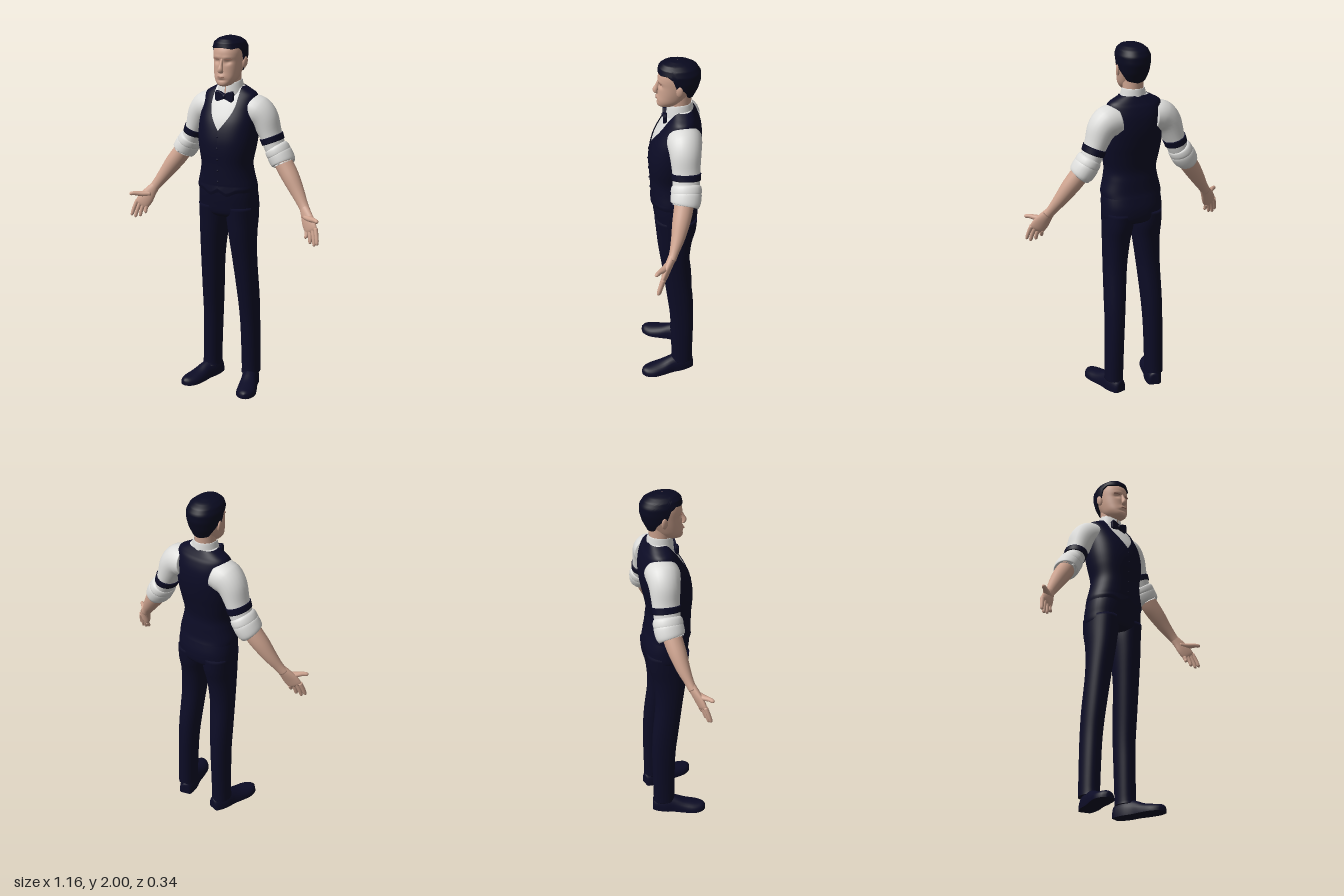
import * as THREE from 'three';

const mat = (name, color, side = THREE.FrontSide) => {
  const m = new THREE.MeshStandardMaterial({ color, side });
  m.name = name;
  return m;
};

// Smooth interpolation through rows of numbers
function sample(K, t) {
  const n = K.length - 1, f = Math.min(Math.max(t, 0) * n, n - 1e-9), i = Math.floor(f), u = f - i;
  const p = k => K[Math.max(0, Math.min(n, k))];
  return p(i).map((b, c) => {
    const a = p(i - 1)[c], d = p(i + 1)[c], e = p(i + 2)[c];
    return b + 0.5 * u * (d - a + u * (2 * a - 5 * b + 4 * d - e + u * (3 * (b - d) + e - a)));
  });
}

// Skin a stack of rings; points run counterclockwise about the direction of travel
function loft(rings, { open = false, caps = true } = {}) {
  const m = rings[0].length, pos = rings.flat().flatMap(p => [p.x, p.y, p.z]), idx = [];
  for (let i = 0; i < rings.length - 1; i++)
    for (let j = 0; j < (open ? m - 1 : m); j++) {
      const a = i * m + j, b = i * m + (j + 1) % m;
      idx.push(a, b, b + m, a, b + m, a + m);
    }
  if (caps && !open) [0, rings.length - 1].forEach((r, end) => {
    const c = rings[r].reduce((s, p) => s.add(p), new THREE.Vector3()).divideScalar(m);
    const k = pos.length / 3;
    pos.push(c.x, c.y, c.z);
    for (let j = 0; j < m; j++) {
      const a = r * m + j, b = r * m + (j + 1) % m;
      idx.push(k, end ? a : b, end ? b : a);
    }
  });
  const g = new THREE.BufferGeometry();
  g.setAttribute('position', new THREE.Float32BufferAttribute(pos, 3));
  g.setIndex(idx);
  g.computeVertexNormals();
  return g;
}

// Point on a rounded horizontal section: row is [y, centreX, halfWidth, zBack, zFront]
function sectionPoint([y, cx, rx, zb, zf], th, e = 2) {
  const s = Math.sin(th), c = Math.cos(th), q = 2 / e;
  return new THREE.Vector3(cx + rx * Math.sign(s) * Math.abs(s) ** q, y,
    (zb + zf) / 2 + (zf - zb) / 2 * Math.sign(c) * Math.abs(c) ** q);
}

// Upright body; start(y, halfWidth) gives the angle of a front opening
function body(K, { rows = 30, m = 40, e = 2, start, caps = true } = {}) {
  const rings = [];
  for (let i = 0; i <= rows; i++) {
    const r = sample(K, i / rows), a = start ? start(r[0], r[2]) : 0, ring = [];
    for (let j = 0; j < (start ? m + 1 : m); j++)
      ring.push(sectionPoint(r, a + (2 * Math.PI - 2 * a) * j / m, e));
    rings.push(ring);
  }
  return loft(rings, { open: !!start, caps });
}

// Limb along a path: row is [x, y, z, radius along ref, radius across]
function limb(K, { t0 = 0, t1 = 1, n = 24, m = 24, grow = 0, ref = [0, 0, 1] } = {}) {
  const rings = [];
  for (let i = 0; i <= n; i++) {
    const t = t0 + (t1 - t0) * i / n, [x, y, z, ru, rv] = sample(K, t);
    const P = k => new THREE.Vector3(...sample(K, Math.min(1, Math.max(0, k))).slice(0, 3));
    const D = P(t + 0.01).sub(P(t - 0.01)).normalize();
    const u = new THREE.Vector3(...ref);
    u.addScaledVector(D, -u.dot(D)).normalize();
    const v = D.clone().cross(u);
    rings.push(Array.from({ length: m }, (_, j) => {
      const a = 2 * Math.PI * j / m;
      return new THREE.Vector3(x, y, z).addScaledVector(u, (ru + grow) * Math.cos(a)).addScaledVector(v, (rv + grow) * Math.sin(a));
    }));
  }
  return loft(rings);
}

function mirrored(geo) {
  const g = geo.clone().scale(-1, 1, 1), ix = g.index.array;
  for (let i = 0; i < ix.length; i += 3) [ix[i], ix[i + 1]] = [ix[i + 1], ix[i]];
  g.computeVertexNormals();
  return g;
}

export function createModel() {
  const model = new THREE.Group();
  const skin = mat('skin', 0xcda38f), shade = mat('skin shade', 0x94695b);
  const shirt = mat('shirt white', 0xdcdcda, THREE.DoubleSide);
  const navy = mat('navy cloth', 0x0c0c26, THREE.DoubleSide), hairMat = mat('dark hair', 0x090a20, THREE.DoubleSide);
  const add = (name, g, m) => {
    const mesh = new THREE.Mesh(g, m);
    mesh.name = name;
    model.add(mesh);
    return mesh;
  };
  const pair = (name, g, m) => { add('left' + name, g, m); add('right' + name, mirrored(g), m); };

  // Waistcoat with a deep V neck
  const torso = [[1.17, 0, .166, -.142, .1], [1.2, 0, .166, -.135, .107], [1.26, 0, .151, -.13, .11], [1.32, 0, .143, -.126, .113],
    [1.4, 0, .157, -.14, .118], [1.47, 0, .165, -.155, .114], [1.55, 0, .165, -.165, .095], [1.62, 0, .158, -.162, .06],
    [1.67, 0, .152, -.148, .028], [1.695, 0, .142, -.135, .008], [1.715, 0, .11, -.125, -.004], [1.732, 0, .077, -.117, -.01]];
  const E = 2.3;
  const neckline = (y, rx) => {
    const t = Math.min(1, Math.max(0, (y - 1.51) / 0.15));
    return Math.asin(Math.min(.97, .073 * Math.sin(t * Math.PI / 2) / rx) ** (E / 2));
  };
  const vest = body(torso, { rows: 66, m: 56, e: E, start: neckline });
  const vp = vest.attributes.position;
  for (let i = 0; i < vp.count; i++) // pointed front hem
    if (vp.getY(i) < 1.2 && vp.getZ(i) > 0) {
      const x = Math.abs(vp.getX(i));
      vp.setY(i, vp.getY(i) - .025 * Math.max(0, 1 - Math.abs(x - .05) / .05));
      vp.setZ(i, vp.getZ(i) + .004);
    }
  vest.computeVertexNormals();
  add('waistcoat', vest, navy);
  add('shirtBody', body(torso.slice(4).map(([y, c, r, b, f]) => [y, c, r - .007, b + .007, f - .006]), { e: E }), shirt);

  // Buttons
  for (let i = 0; i < 7; i++) {
    const y = 1.23 + i * .062, onShirt = i > 4;
    const b = add(onShirt ? 'shirtButton' : 'waistcoatButton', new THREE.SphereGeometry(.006, 10, 8), onShirt ? shirt : navy);
    b.position.set(0, y, onShirt ? [.1, .068][i - 5] - .014 : [.109, .113, .116, .119, .115][i]);
    b.scale.z = .6;
  }

  // Trousers
  add('trouserSeat', body([[1.015, 0, .12, -.11, .05], [1.04, 0, .163, -.143, .082], [1.1, 0, .168, -.15, .094], [1.16, 0, .164, -.14, .1], [1.22, 0, .15, -.125, .1]], { e: 2.4 }), navy);
  pair('TrouserLeg', body([[.065, .125, .052, -.127, .002], [.1, .125, .051, -.126, -.004], [.3, .12, .052, -.13, 0], [.42, .116, .054, -.13, .006], [.55, .111, .058, -.124, .022],
    [.75, .1, .065, -.104, .048], [.9, .09, .073, -.114, .07], [1, .084, .081, -.138, .08], [1.08, .084, .081, -.145, .088]], { e: 2.2 }), navy);

  // Shoes, turned outwards
  const shoeRows = [[-.07, .012, .045], [-.062, .036, .075], [0, .05, .095], [.06, .048, .084], [.12, .054, .06], [.18, .055, .047], [.222, .037, .04], [.24, .01, .026]];
  const shoeRings = Array.from({ length: 25 }, (_, i) => {
    const [z, w, h] = sample(shoeRows, i / 24);
    return Array.from({ length: 28 }, (_, j) => {
      const a = 2 * Math.PI * j / 28, s = Math.max(0, Math.sin(a));
      return new THREE.Vector3(w * Math.cos(a), h * s ** .75, z);
    });
  });
  pair('Shoe', loft(shoeRings).rotateY(.29).translate(.125, 0, -.06), navy);

  // Sleeves, arm bands and rolled cuffs
  const sleeve = [[.1, 1.605, -.07, .09, .078], [.148, 1.597, -.07, .09, .088], [.19, 1.562, -.073, .082, .077],
    [.224, 1.485, -.076, .073, .06], [.25, 1.42, -.076, .07, .055], [.278, 1.365, -.074, .068, .054]];
  pair('Sleeve', limb(sleeve), shirt);
  pair('ArmBand', limb(sleeve, { t0: .64, t1: .74, n: 6, grow: .005 }), navy);
  pair('UpperCuff', limb([[.256, 1.418, -.076, .066, .052], [.262, 1.408, -.076, .077, .063], [.275, 1.383, -.076, .08, .066], [.283, 1.367, -.076, .07, .057]]), shirt);
  pair('LowerCuff', limb([[.272, 1.39, -.076, .068, .055], [.28, 1.376, -.076, .079, .067], [.303, 1.34, -.072, .078, .066], [.31, 1.328, -.07, .07, .058], [.305, 1.337, -.071, .05, .045]]), shirt);

  // Forearms and hands, palms forward
  pair('Forearm', limb([[.285, 1.37, -.07, .05, .047], [.325, 1.31, -.06, .05, .05], [.365, 1.255, -.047, .046, .047], [.41, 1.19, -.03, .036, .038], [.45, 1.133, -.01, .025, .029], [.475, 1.098, .004, .022, .028]]), skin);
  const palmRef = [-.27, .08, .955];
  pair('Palm', limb([[.458, 1.12, -.005, .022, .026], [.48, 1.088, .012, .021, .034], [.502, 1.05, .03, .019, .043], [.522, 1.018, .043, .015, .042], [.53, 1.005, .047, .008, .036]], { ref: palmRef }), skin);
  const tips = [[.572, .947, .075], [.553, .936, .068], [.526, .943, .06], [.496, .963, .05]];
  tips.forEach(([x, y, z], i) => {
    const o = .032 - i * .0213, b = [.524 + .85 * o, 1.016 + .48 * o, .044 + .2 * o];
    const mid = [(x + b[0]) / 2 + .003, (y + b[1]) / 2, (z + b[2]) / 2 + .002];
    pair('Finger' + (i + 1), limb([[...b, .012, .012], [...mid, .011, .011], [x, y + .008, z, .009, .009], [x, y, z, .002, .002]], { n: 12, m: 12, ref: palmRef }), skin);
  });
  pair('Thumb', limb([[.478, 1.075, .018, .016, .02], [.52, 1.075, .045, .015, .018], [.552, 1.08, .07, .012, .012], [.572, 1.079, .084, .01, .01], [.579, 1.078, .088, .002, .002]], { n: 16, m: 14, ref: [0, 1, 0] }), skin);

  // Neck, collar and bow tie
  add('neck', body([[1.68, 0, .056, -.108, .005], [1.74, 0, .055, -.106, .005], [1.82, 0, .056, -.112, .02]]), skin);
  const collar = body([[1.7, 0, .077, -.124, .022], [1.73, 0, .069, -.119, .02], [1.765, 0, .061, -.113, .012], [1.762, 0, .056, -.107, .006]], { start: () => .05 });
  const cp = collar.attributes.position;
  for (let i = 0; i < cp.count; i++) cp.setY(i, cp.getY(i) - .018 * Math.max(0, (cp.getZ(i) + .05) / .07));
  collar.computeVertexNormals();
  add('collar', collar, shirt);
  const bow = new THREE.Shape([[0, .009], [.025, .022], [.046, .026], [.052, .015], [.05, -.018], [.042, -.026], [.02, -.018], [0, -.009],
    [-.02, -.018], [-.042, -.026], [-.05, -.018], [-.052, .015], [-.046, .026], [-.025, .022]].map(p => new THREE.Vector2(...p)));
  add('bowTie', new THREE.ExtrudeGeometry(bow, { depth: .012, bevelSize: .003, bevelThickness: .004, bevelSegments: 2 }), navy).position.set(0, 1.683, .022);
  const knot = add('bowKnot', new THREE.SphereGeometry(.012, 16, 12), navy);
  knot.position.set(0, 1.683, .036);
  knot.scale.set(.9, 1.1, .8);

  // Head with eye sockets, brow, cheekbones and lips
  const head = body([[1.742, 0, .022, .005, .056], [1.752, 0, .041, -.03, .068], [1.78, 0, .061, -.07, .07], [1.82, 0, .072, -.1, .065], [1.87, 0, .079, -.13, .062],
    [1.92, 0, .081, -.14, .062], [1.955, 0, .073, -.125, .045], [1.98, 0, .045, -.09, .01]], { rows: 56, m: 64, e: 2.2 });
  const hp = head.attributes.position;
  const bump = (x, y, cx, cy, w, h) => Math.exp(-(((x - cx) / w) ** 2) - ((y - cy) / h) ** 2);
  for (let i = 0; i < hp.count; i++) if (hp.getZ(i) > 0) {
    const x = Math.abs(hp.getX(i)), y = hp.getY(i);
    hp.setZ(i, hp.getZ(i) - .012 * bump(x, y, .032, 1.872, .017, .012) + .004 * bump(x, y, .025, 1.895, .03, .009)
      + .006 * bump(x, y, 0, 1.795, .02, .012) - .005 * bump(x, y, 0, 1.776, .025, .007));
  }
  head.computeVertexNormals();
  add('head', head, skin);
  add('nose', limb([[0, 1.89, .055, .008, .008], [0, 1.855, .066, .013, .009], [0, 1.832, .077, .014, .015], [0, 1.82, .07, .009, .014], [0, 1.815, .062, .003, .006]], { n: 16, m: 18 }), skin);
  add('mouth', new THREE.BoxGeometry(.034, .004, .006), shade).position.set(0, 1.793, .073);
  for (const s of [-1, 1]) {
    const side = s > 0 ? 'left' : 'right';
    const brow = add(side + 'Brow', new THREE.BoxGeometry(.036, .005, .008), shade);
    brow.position.set(s * .034, 1.887, .053);
    brow.rotation.set(0, s * .3, s * .06);
    const ear = add(side + 'Ear', new THREE.SphereGeometry(1, 16, 12), skin);
    ear.scale.set(.009, .031, .018);
    ear.position.set(s * .085, 1.862, -.045);
    ear.rotation.set(-.15, s * -.3, s * -.15);
  }

  // Hair: a cap whose lower edge follows the hairline
  const hairRows = [[1.79, 0, .058, -.112, .03], [1.85, 0, .081, -.142, .055], [1.9, 0, .089, -.156, .066], [1.94, 0, .09, -.154, .067],
    [1.97, 0, .078, -.135, .06], [1.988, 0, .055, -.105, .04], [1.998, 0, .025, -.065, 0], [2, 0, .002, -.04, -.036]];
  const hairline = [[0, 1.947], [35, 1.94], [60, 1.945], [76, 1.925], [84, 1.87], [100, 1.866], [112, 1.845], [128, 1.81], [181, 1.798]];
  const lookup = (T, v) => {
    const i = Math.max(1, T.findIndex(r => r[0] >= v)), a = T[i - 1], b = T[i], t = (v - a[0]) / (b[0] - a[0]);
    return a.map((q, c) => q + (b[c] - q) * t);
  };
  const hairRings = Array.from({ length: 32 }, (_, i) => Array.from({ length: 72 }, (_, j) => {
    const th = 2 * Math.PI * j / 72, deg = Math.min(j, 72 - j) * 5;
    const y0 = lookup(hairline, deg)[1], t = Math.max(0, i - 1) / 30;
    const p = sectionPoint(lookup(hairRows, Math.min(2, y0 + (2 - y0) * Math.sin(t * Math.PI / 2))), th, 2.15);
    if (i === 0) { p.x *= .84; p.z = -.04 + (p.z + .04) * .84; }
    return p;
  }));
  add('hair', loft(hairRings, { caps: false }), hairMat);

  return model;
}
